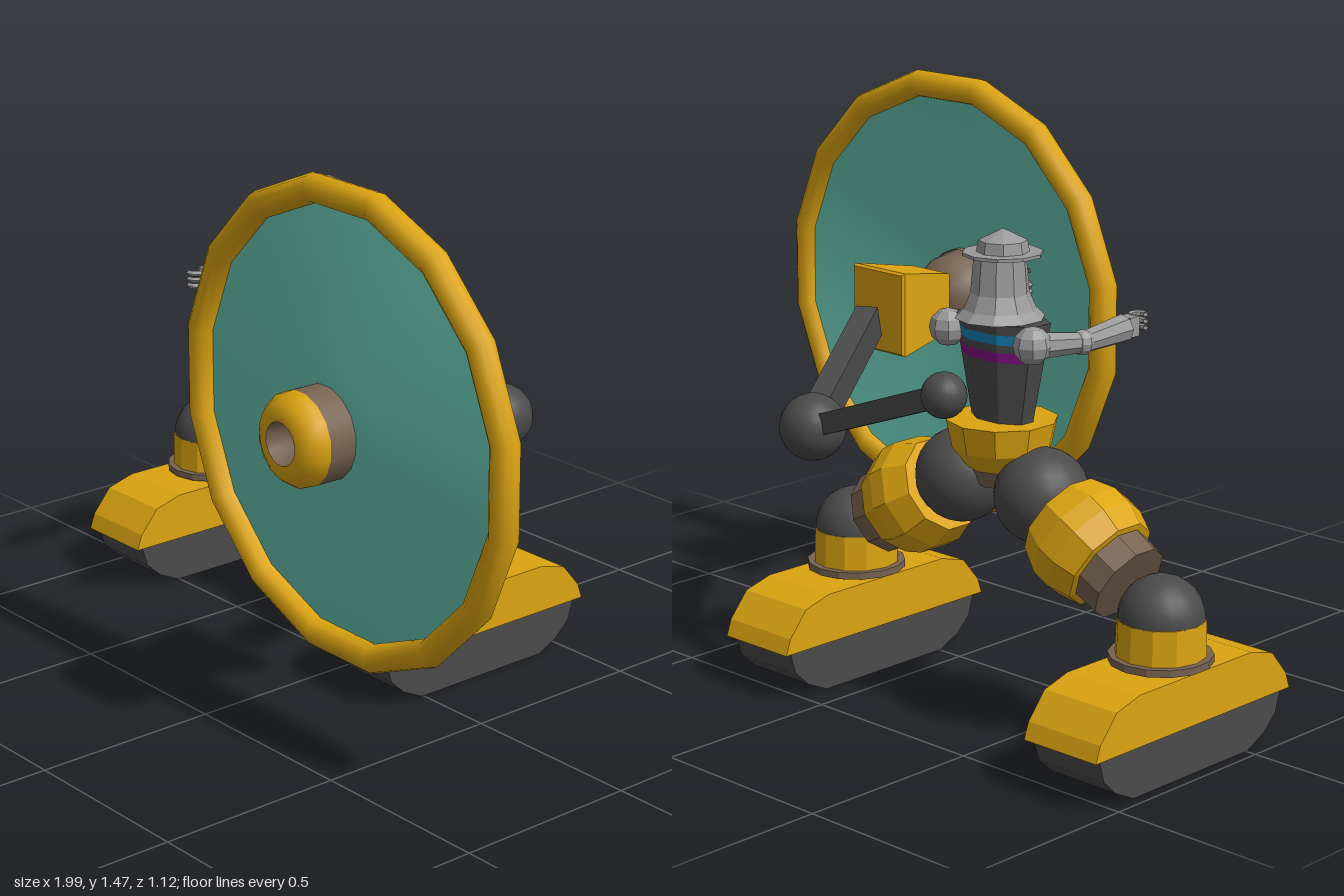
import * as THREE from 'three';

const YELLOW = 0xdca410, DARK = 0x4a4a4a, BROWN = 0x776351, TEAL = 0x68c6b2, GREY = 0x9a9a9a;
const BLUE = 0x1483b8, PURPLE = 0x850f85;
const V = (x, y, z) => new THREE.Vector3(x, y, z);
const UP = V(0, 1, 0);
const CX = -0.346, CZ = -0.205; // centre of the walker

const mat = (color, flat = true) =>
  new THREE.MeshStandardMaterial({ color, flatShading: flat, side: THREE.DoubleSide });

function part(parent, name, geo, color, pos = V(0, 0, 0), flat = true) {
  const m = new THREE.Mesh(geo, mat(color, flat));
  m.name = name;
  m.position.copy(pos);
  parent.add(m);
  return m;
}

// Profile of [radius, height] pairs, bottom to top
const lathe = (pts, sides = 12) =>
  new THREE.LatheGeometry(pts.map(([r, y]) => new THREE.Vector2(r, y)), sides);

const ball = (parent, name, r, color, pos) =>
  part(parent, name, new THREE.SphereGeometry(r, 20, 14), color, pos, false);

// Turn a part built along +y so it starts at a and heads for b
function aim(obj, a, b) {
  obj.position.copy(a);
  obj.quaternion.setFromUnitVectors(UP, b.clone().sub(a).normalize());
  return obj;
}

function limb(parent, name, a, b, r0, r1, color, sides = 8) {
  const len = a.distanceTo(b);
  return aim(part(parent, name, lathe([[0, 0], [r0, 0], [r1, len], [0, len]], sides), color), a, b);
}

// Side outline of [z, y] pairs, extruded across x
function slab(pts, width) {
  const g = new THREE.ExtrudeGeometry(new THREE.Shape(pts.map(([z, y]) => new THREE.Vector2(z, y))),
    { depth: width, bevelEnabled: false });
  return g.translate(0, 0, -width / 2).rotateY(-Math.PI / 2);
}
const mirrored = (half) => [...half, ...half.map(([z, y]) => [-z, y]).reverse()];

function addLeg(root, s, side) {
  const g = new THREE.Group();
  g.name = side + 'Leg';
  root.add(g);
  const x = CX + s * 0.522;
  // Foot: dark sole under a yellow cover
  part(g, 'sole', slab(mirrored([[0.21, 0], [0.272, 0.03], [0.315, 0.07], [0.333, 0.13]]), 0.206), DARK, V(x, 0, CZ));
  part(g, 'footCover', slab(mirrored([[0.355, 0.128], [0.34, 0.17], [0.285, 0.235], [0.205, 0.257]]), 0.225), YELLOW, V(x, 0, CZ));
  // Ankle
  part(g, 'ankleFlange', new THREE.CylinderGeometry(0.128, 0.128, 0.018, 14), BROWN, V(x, 0.272, CZ));
  part(g, 'ankleRing', new THREE.CylinderGeometry(0.109, 0.112, 0.1, 12), YELLOW, V(x, 0.32, CZ));
  ball(g, 'ankleBall', 0.106, DARK, V(x, 0.37, CZ));
  // Barrel shaped leg running up to the hip
  const a = V(CX + s * 0.419, 0.43, CZ), b = V(CX + s * 0.204, 0.55, CZ);
  aim(part(g, 'shinSleeve', lathe([[0, 0], [0.108, 0], [0.113, 0.1], [0, 0.1]], 10), BROWN), a, b);
  aim(part(g, 'legBarrel', lathe([[0.1, 0.065], [0.128, 0.07], [0.148, 0.13], [0.148, 0.18], [0.122, 0.246], [0, 0.246]], 10), YELLOW), a, b);
  ball(g, 'hipBall', 0.12, DARK, V(CX + s * 0.135, 0.59, CZ));
}

function addArm(root, s, side, pts) {
  const g = new THREE.Group();
  g.name = side + 'Arm';
  root.add(g);
  const [sh, el, wr] = pts;
  part(g, 'shoulder', new THREE.SphereGeometry(0.048, 8, 6), GREY, sh);
  limb(g, 'upperArm', sh, el, 0.036, 0.026, GREY);
  part(g, 'elbow', new THREE.SphereGeometry(0.032, 8, 6), GREY, el);
  limb(g, 'forearm', el, wr, 0.027, 0.036, GREY);
  part(g, 'palm', new THREE.BoxGeometry(0.04, 0.05, 0.035), GREY, wr.clone().add(V(0, 0.002, 0.025)));
  // Curled fingers and thumb
  for (let i = 0; i < 3; i++) {
    const f = part(g, 'finger', new THREE.TorusGeometry(0.024, 0.008, 5, 6, 3.9), GREY,
      wr.clone().add(V(0, -0.012 + i * 0.017, 0.062)));
    f.rotation.set(Math.PI / 2, 0, s > 0 ? -0.6 : -2.2);
  }
}

function addPilot(root) {
  const g = new THREE.Group();
  g.name = 'pilot';
  root.add(g);
  // Pelvis
  part(g, 'pelvis', lathe([[0, 0.64], [0.085, 0.64], [0.125, 0.69], [0.14, 0.762], [0, 0.762]], 10), YELLOW, V(CX, 0, CZ));
  part(g, 'pelvisCore', new THREE.CylinderGeometry(0.085, 0.06, 0.07, 10), BROWN, V(CX, 0.63, CZ));
  // Tapered torso, stacked in coloured bands of [bottom, top, colour]
  const radius = (y) => 0.084 + (y - 0.76) * 0.18;
  [[0.76, 0.92, DARK], [0.92, 0.945, PURPLE], [0.945, 0.965, DARK], [0.965, 0.99, BLUE], [0.99, 1.015, DARK]]
    .forEach(([y0, y1, c]) => {
      const geo = lathe([[0, y0], [radius(y0), y0], [radius(y1), y1], [0, y1]], 8).rotateY(Math.PI / 8);
      part(g, 'torsoBand', geo.scale(1.08, 1, 0.66), c, V(CX, 0, CZ));
    });
  part(g, 'chestGem', new THREE.SphereGeometry(0.034, 14, 10), TEAL, V(CX, 0.95, CZ + 0.07), false);
  // Flared hood, brim and cap
  const hz = CZ - 0.01;
  part(g, 'hood', lathe([[0.112, 1.018], [0.09, 1.04], [0.073, 1.08], [0.065, 1.175]], 10), GREY, V(CX, 0, hz));
  part(g, 'brim', new THREE.CylinderGeometry(0.1, 0.1, 0.008, 10), GREY, V(CX, 1.175, hz + 0.01));
  part(g, 'cap', lathe([[0.066, 1.175], [0.06, 1.207], [0.03, 1.222], [0, 1.236]], 8), GREY, V(CX, 0, hz + 0.01));
  // Face
  part(g, 'nose', new THREE.ConeGeometry(0.02, 0.07, 4), GREY, V(CX, 1.1, hz + 0.068));
  for (const s of [-1, 1]) {
    const eye = part(g, 'eye', new THREE.BoxGeometry(0.026, 0.012, 0.012), DARK, V(CX + s * 0.027, 1.125, hz + 0.06));
    eye.rotation.z = s * 0.3;
  }
  addArm(g, 1, 'left', [V(-0.205, 0.975, -0.25), V(-0.165, 0.97, -0.11), V(-0.11, 0.985, 0.05)]);
  addArm(g, -1, 'right', [V(-0.487, 0.975, -0.25), V(-0.522, 0.965, -0.11), V(-0.51, 0.97, 0.05)]);
}

// Jointed boom from the walker's back to the dish
function addBoom(root) {
  const g = new THREE.Group();
  g.name = 'boom';
  root.add(g);
  const back = V(-0.355, 0.86, -0.418), joint = V(0.18, 0.665, -0.35), tip = V(0.385, 0.84, 0.05);
  ball(g, 'backJoint', 0.057, DARK, back);
  ball(g, 'elbowJoint', 0.087, DARK, joint);
  const rod = (name, a, b, w, h) => {
    const m = part(g, name, new THREE.BoxGeometry(w, h, a.distanceTo(b)), DARK, a.clone().lerp(b, 0.5));
    m.lookAt(b);
  };
  rod('rearRod', back, joint, 0.055, 0.055);
  rod('frontRod', joint, tip, 0.06, 0.09);
}

function addDish(root) {
  const g = new THREE.Group();
  g.name = 'dish';
  g.position.set(0.393, 0.858, 0.363);
  g.rotation.y = -0.018;
  root.add(g);
  const SIDES = 16;
  // Everything here is turned around the z axis, heights measured from the rim plane
  const turned = (name, pts, sides, color, flat) =>
    part(g, name, lathe(pts, sides).rotateX(Math.PI / 2).rotateZ(Math.PI / sides), color, undefined, flat);
  part(g, 'rim', new THREE.TorusGeometry(0.582, 0.037, 10, SIDES).rotateZ(Math.PI / SIDES), YELLOW, undefined, false);
  turned('bowl', [[0.58, -0.015], [0.45, 0.012], [0.32, 0.034], [0.2, 0.052], [0.1, 0.066], [0, 0.07]], SIDES, TEAL, false);
  // Front hub with a hollow middle
  turned('hubCollar', [[0.12, 0.04], [0.12, 0.138]], 16, BROWN, false);
  turned('hubCap', [[0.12, 0.138], [0.118, 0.16], [0.1, 0.185], [0.075, 0.2], [0.055, 0.198]], 16, YELLOW, false);
  turned('hubBore', [[0.055, 0.198], [0.05, 0.12], [0, 0.12]], 16, BROWN, false);
  // Rounded hub behind the bowl
  turned('rearHub', [[0, -0.08], [0.045, -0.075], [0.08, -0.05], [0.106, -0.01], [0.118, 0.06]], 16, BROWN, false);
  // Tapered mount block with dark edges at both ends
  const block = (name, z0, z1, r0, r1, color) => {
    const geo = new THREE.CylinderGeometry(r1 * Math.SQRT2, r0 * Math.SQRT2, z1 - z0, 4)
      .rotateY(Math.PI / 4).rotateX(Math.PI / 2).scale(0.85, 1, 1);
    part(g, name, geo, color, V(0, 0, (z0 + z1) / 2));
  };
  block('mountBlock', -0.26, -0.068, 0.114, 0.08, YELLOW);
  block('mountBackPlate', -0.268, -0.26, 0.108, 0.114, YELLOW);
  block('mountFrontPlate', -0.068, -0.06, 0.08, 0.074, YELLOW);
}

export function createModel() {
  const root = new THREE.Group();
  root.name = 'dishWalker';
  addLeg(root, 1, 'left');
  addLeg(root, -1, 'right');
  addPilot(root);
  addBoom(root);
  addDish(root);
  return root;
}
